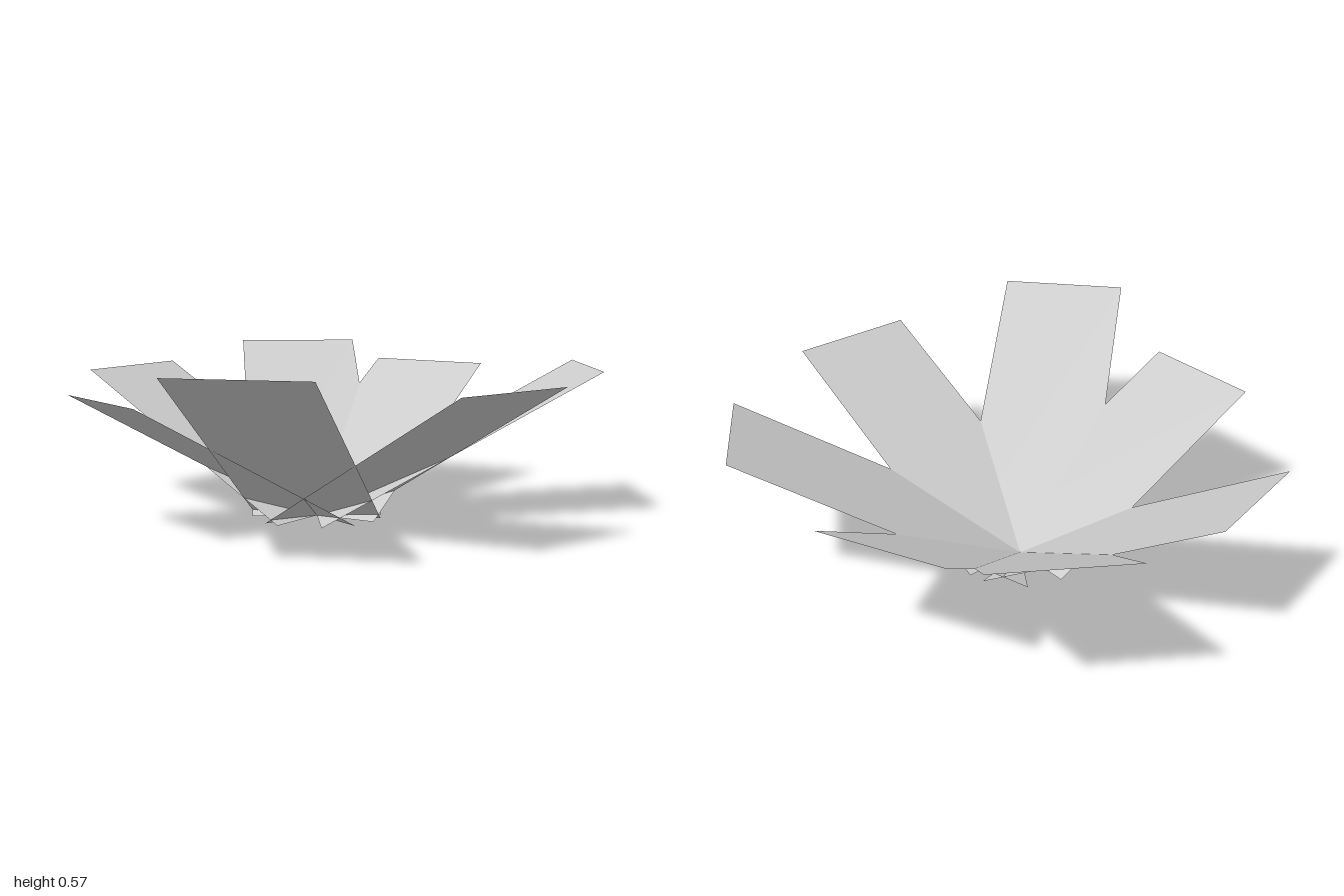
import * as THREE from 'three';

const WIDTH = 0.44;
const TILT = 0.502; // rise of every blade above the ground, in radians

// heading (degrees from +z towards +x) and horizontal reach of each blade
const BLADES = [
  [14.1, 1.045], [64.9, 0.922], [120.1, 0.926], [175.5, 0.846],
  [210.8, 0.958], [259.7, 0.852], [331.3, 0.816],
];

export function createModel() {
  const model = new THREE.Group();
  model.name = 'bladeRosette';
  const grey = new THREE.MeshStandardMaterial({ color: 0xcccccc, side: THREE.DoubleSide });
  grey.name = 'plain grey';

  // flat rectangular blades, hinged on one common point and fanned outwards
  BLADES.forEach(([heading, reach], i) => {
    const length = reach / Math.cos(TILT);
    const geometry = new THREE.PlaneGeometry(WIDTH, length)
      .rotateX(-Math.PI / 2)
      .translate(0, 0, length / 2)
      .rotateX(-TILT)
      .rotateY(THREE.MathUtils.degToRad(heading));
    const blade = new THREE.Mesh(geometry, grey);
    blade.name = `blade${i + 1}`;
    blade.position.set(-0.026, 0, -0.068);
    model.add(blade);
  });

  return model;
}
